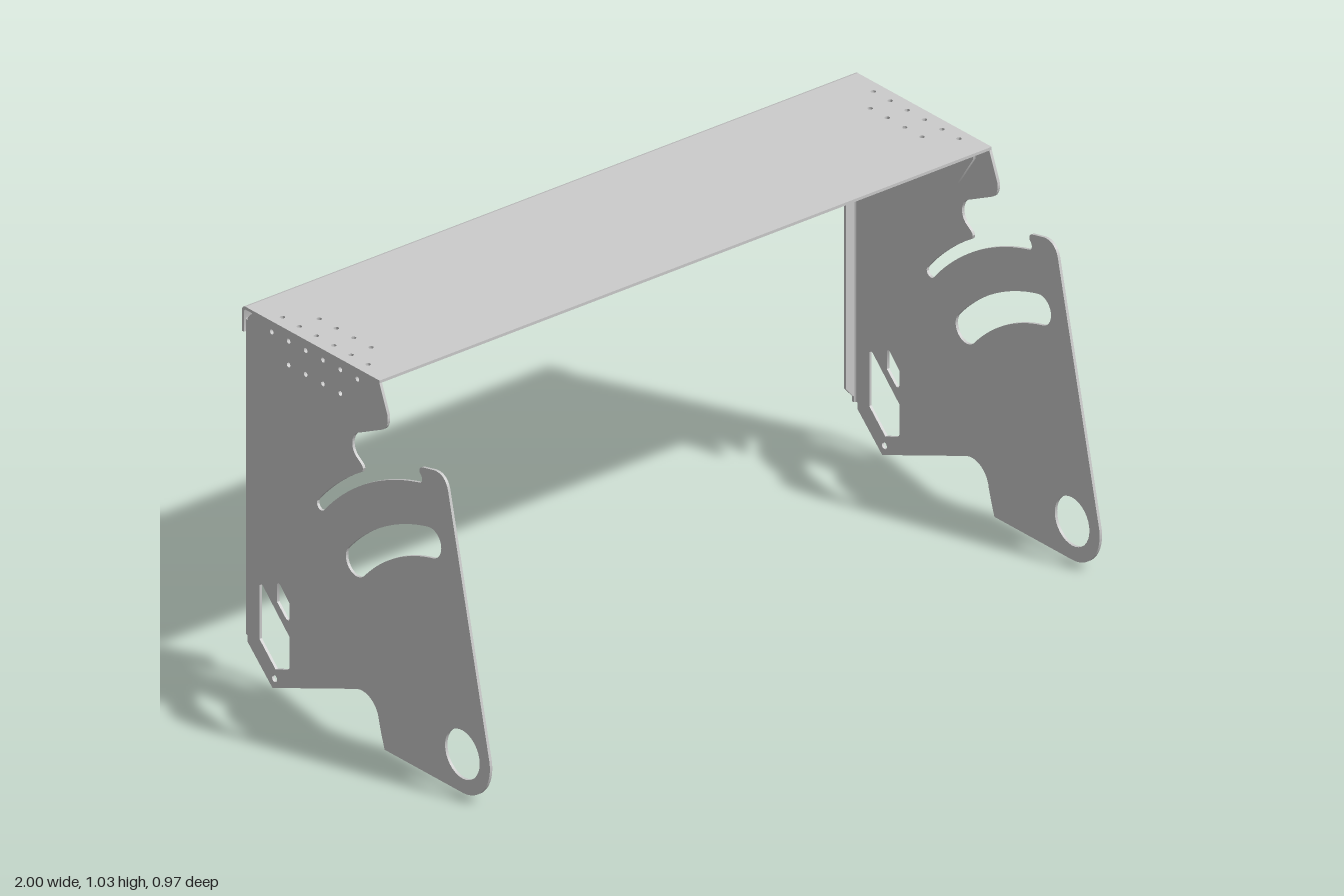
import * as THREE from 'three';
import { toCreasedNormals } from 'three/addons/utils/BufferGeometryUtils.js';

const T = 0.008; // sheet thickness
const rad = THREE.MathUtils.degToRad;
const grey = new THREE.MeshStandardMaterial({ color: 0xcccccc, side: THREE.DoubleSide });
const red = new THREE.MeshStandardMaterial({ color: 0xff0000 });

function sheet(shape, depth = T) {
  const g = new THREE.ExtrudeGeometry(shape, { depth, bevelEnabled: false, curveSegments: 16 });
  return toCreasedNormals(g, rad(35));
}
function add(parent, name, geometry, material = grey) {
  const mesh = new THREE.Mesh(geometry, material);
  mesh.name = name;
  parent.add(mesh);
  return mesh;
}
const poly = (pts) => new THREE.Shape(pts.map(([x, y]) => new THREE.Vector2(x, y)));
function hole(shape, x, y, r = 0.007) {
  shape.holes.push(new THREE.Path().absarc(x, y, r, 0, Math.PI * 2, true));
}
const outerRow = [0.032, 0.099, 0.167, 0.235, 0.302, 0.368]; // hole positions, measured along -z
const innerRow = outerRow.slice(1, 5);

// Side plate drawn with u = -z across and y up
const PU = -0.38, PY = 0.108; // pivot that the curved slots are centred on
const polar = (r, a) => [PU + r * Math.cos(rad(a)), PY + r * Math.sin(rad(a))];

function sidePlateShape() {
  const s = new THREE.Shape();
  s.moveTo(-0.055, 1.027);
  s.lineTo(-0.086, 0.95);
  s.quadraticCurveTo(-0.093, 0.913, -0.06, 0.898);
  s.absarc(0.01, 0.817, 0.042, rad(65), rad(-50), true);
  s.lineTo(0.018, 0.772);
  s.quadraticCurveTo(0.004, 0.762, 0.015, 0.749);
  // open slot
  s.absarc(PU, PY, 0.753, rad(58.2), rad(41.2), true);
  s.absarc(...polar(0.737, 41.2), 0.016, rad(41.2), rad(-138.8), true);
  s.absarc(PU, PY, 0.721, rad(41.2), rad(76.8), false);
  // hooked tip
  s.quadraticCurveTo(-0.23, 0.822, -0.213, 0.838);
  s.quadraticCurveTo(-0.208, 0.853, -0.225, 0.857);
  s.lineTo(-0.27, 0.867);
  s.quadraticCurveTo(-0.313, 0.872, -0.324, 0.83);
  // rounded foot and lower edge
  s.absarc(PU, PY, 0.108, rad(167), rad(270), false);
  s.lineTo(-0.075, 0);
  s.lineTo(-0.062, 0.04);
  s.absarc(0.013, 0.066, 0.066, rad(172), rad(68), true);
  s.lineTo(0.365, 0);
  s.lineTo(0.463, 0.092);
  s.lineTo(0.463, 1.008);
  s.lineTo(0.444, 1.027);

  hole(s, PU, PY, 0.068);
  hole(s, 0.357, 0.03, 0.01);
  outerRow.forEach((u) => hole(s, u, 1.005));
  innerRow.forEach((u) => hole(s, u, 0.938));
  // closed curved slot
  const slot = new THREE.Path();
  slot.absarc(PU, PY, 0.605, rad(77.2), rad(42.5), true);
  slot.absarc(...polar(0.563, 42.5), 0.042, rad(42.5), rad(-137.5), true);
  slot.absarc(PU, PY, 0.521, rad(42.5), rad(77.2), false);
  slot.absarc(...polar(0.563, 77.2), 0.042, rad(257.2), rad(77.2), true);
  s.holes.push(slot);
  // angular windows
  s.holes.push(poly([[0.298, 0.265], [0.334, 0.303], [0.343, 0.306], [0.347, 0.3], [0.347, 0.25],
    [0.31, 0.215], [0.302, 0.215], [0.298, 0.222]]));
  s.holes.push(poly([[0.298, 0.17], [0.402, 0.273], [0.411, 0.277], [0.416, 0.27], [0.416, 0.118],
    [0.353, 0.057], [0.304, 0.075], [0.298, 0.083]]));
  return s;
}

// L bracket leg: tapered tab, u along the fold and v away from it
function bracketLeg(vEnd, v1, v2) {
  const s = poly([[0, 0], [0.4, 0], [0.4, 0.045], [0.335, vEnd], [0.065, vEnd], [0, 0.045]]);
  outerRow.forEach((u) => hole(s, u, v1));
  innerRow.forEach((u) => hole(s, u, v2));
  return s;
}

function buildSide() {
  const side = new THREE.Group();
  const plate = add(side, 'sidePlate', sheet(sidePlateShape()));
  plate.rotation.y = Math.PI / 2;
  plate.position.x = 1 - T;

  // rear flange with chamfered ends, joined by a rounded bend
  const flange = add(side, 'rearFlange', sheet(poly([
    [0.986, 0.125], [0.986, 0.998], [0.96, 0.975], [0.96, 0.155]])));
  flange.position.z = -0.477;
  const bend = new THREE.Shape();
  bend.absarc(0, 0, 0.014, 0, Math.PI / 2, false);
  bend.absarc(0, 0, 0.006, Math.PI / 2, 0, true);
  const corner = add(side, 'flangeBend', sheet(bend, 0.89));
  corner.rotation.x = -Math.PI / 2;
  corner.position.set(0.986, 0.11, -0.463);

  // corner bracket
  const upright = add(side, 'bracketUpright', sheet(bracketLeg(0.142, 0.022, 0.089)));
  upright.geometry.scale(1, -1, 1);
  flip(upright.geometry);
  upright.rotation.y = Math.PI / 2;
  upright.position.set(0.992 - T, 1.027, 0);
  const tab = add(side, 'bracketTab', sheet(bracketLeg(0.13, 0.027, 0.092)));
  tab.geometry.applyMatrix4(new THREE.Matrix4().set(
    0, -1, 0, 0.992, 0, 0, 1, 1.027 - T, -1, 0, 0, 0, 0, 0, 0, 1));
  return side;
}

// Reverses triangle winding after a mirrored scale
function flip(g) {
  for (const a of Object.values(g.attributes)) {
    for (let i = 0; i < a.count; i += 3) {
      for (let k = 0; k < a.itemSize; k++) {
        const t = a.getComponent(i, k);
        a.setComponent(i, k, a.getComponent(i + 1, k));
        a.setComponent(i + 1, k, t);
      }
    }
  }
}

export function createModel() {
  const model = new THREE.Group();
  model.name = 'bracketStand';

  // top shelf, drawn as x across and -z up
  const top = poly([[-1, -0.055], [1, -0.055], [1, 0.471], [-1, 0.471]]);
  for (const m of [-1, 1]) {
    outerRow.forEach((u) => hole(top, m * 0.965, u));
    innerRow.forEach((u) => hole(top, m * 0.9, u));
  }
  const shelf = add(model, 'topShelf', sheet(top));
  shelf.rotation.x = -Math.PI / 2;
  shelf.position.y = 1.027;

  // rounded rear edge and downturned lip
  const lip = new THREE.Shape();
  lip.moveTo(0.471, 1.027);
  lip.lineTo(0.471, 1.035);
  lip.absarc(0.471, 1.021, 0.014, Math.PI / 2, 0, true);
  lip.lineTo(0.485, 0.962);
  lip.lineTo(0.477, 0.962);
  lip.absarc(0.471, 1.021, 0.006, 0, Math.PI / 2, false);
  const rearLip = add(model, 'rearLip', sheet(lip, 2));
  rearLip.rotation.y = Math.PI / 2;
  rearLip.position.x = -1;

  // red bar under the shelf with a grey backing strip
  const bar = add(model, 'crossBar', new THREE.BoxGeometry(1.968, 0.026, 0.034), red);
  bar.position.set(0, 1.011, -0.367);
  const backing = add(model, 'barBacking', new THREE.BoxGeometry(1.968, 0.018, 0.003));
  backing.position.set(0, 1.008, -0.3855);

  const left = buildSide();
  left.name = 'leftSide';
  const right = buildSide();
  right.name = 'rightSide';
  right.scale.x = -1;
  model.add(left, right);
  return model;
}
